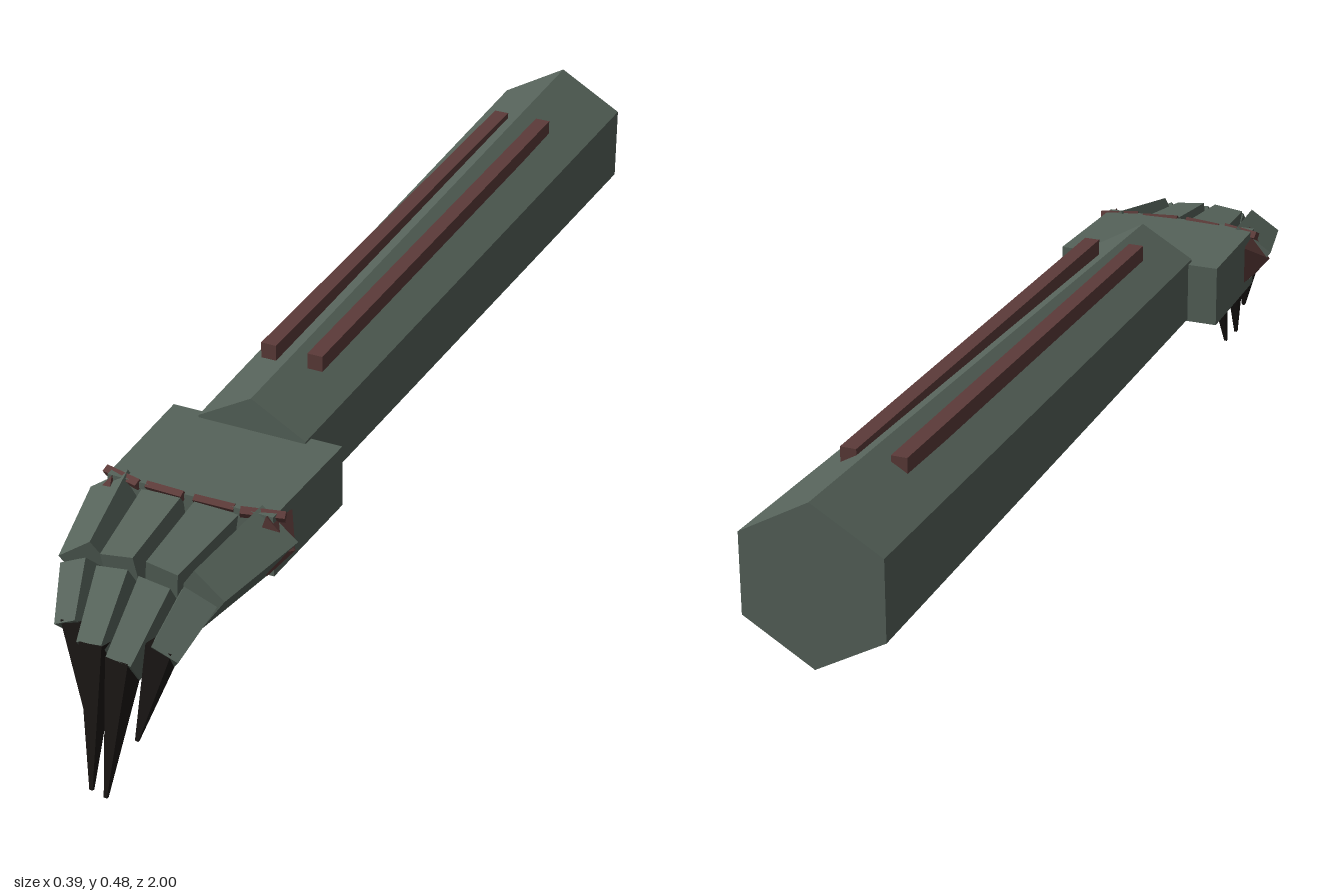
import * as THREE from 'three';

const armour = new THREE.MeshStandardMaterial({ color: 0x56635a, flatShading: true });
const trim = new THREE.MeshStandardMaterial({ color: 0x5c3b39, flatShading: true });
const talon = new THREE.MeshStandardMaterial({ color: 0x1a1614, flatShading: true });

function add(parent, name, geometry, material) {
  const mesh = new THREE.Mesh(geometry, material);
  mesh.name = name;
  parent.add(mesh);
  return mesh;
}

// Four-sided block running from a to b, with its own width and height at each end
function segment(parent, name, a, b, sizeA, sizeB, roll, material) {
  const from = new THREE.Vector3(...a), to = new THREE.Vector3(...b);
  const geo = new THREE.BoxGeometry(1, 1, from.distanceTo(to));
  const p = geo.attributes.position;
  for (let i = 0; i < p.count; i++) {
    const [w, h] = p.getZ(i) < 0 ? sizeA : sizeB;
    p.setXY(i, p.getX(i) * w, p.getY(i) * h);
  }
  geo.rotateZ(roll);
  geo.computeVertexNormals();
  const mesh = add(parent, name, geo, material);
  mesh.up.set(0, 1, 0.6).normalize();
  mesh.position.copy(from).add(to).multiplyScalar(0.5);
  mesh.lookAt(to);
  return mesh;
}

// Two phalanges and a claw through four joints
function finger(name, joints, sizes, roll) {
  const group = new THREE.Group();
  group.name = name;
  const [knuckle, middle, end, tip] = joints;
  segment(group, 'proximalPhalanx', knuckle, middle, sizes[0], sizes[1], roll, armour);
  segment(group, 'distalPhalanx', middle, end, sizes[2], sizes[3], roll, armour);
  const base = end.map((v, i) => v + (i === 1 ? 0.02 : i === 2 ? -0.012 : 0));
  segment(group, 'claw', base, tip, sizes[4], [0.006, 0.006], roll * 0.5, talon);
  return group;
}

export function createModel() {
  const model = new THREE.Group();
  model.name = 'clawedArm';

  // Hexagonal forearm, ridge upward, wider at the rear
  const arm = new THREE.CylinderGeometry(0.119, 0.145, 1.43, 6);
  arm.rotateX(Math.PI / 2);
  arm.computeBoundingBox();
  if (arm.boundingBox.max.x > arm.boundingBox.max.y + 0.005) arm.rotateZ(Math.PI / 6);
  add(model, 'forearm', arm, armour).position.set(0, 0.336, -0.285);

  // Twin rails along the top of the forearm
  for (const s of [1, -1]) {
    add(model, 'rail', new THREE.BoxGeometry(0.029, 0.03, 1.05), trim)
      .position.set(s * 0.045, 0.455, -0.25);
  }

  // Palm block
  segment(model, 'palm', [0, 0.332, 0.41], [0, 0.333, 0.655], [0.325, 0.118], [0.31, 0.116], 0, armour);

  for (const s of [1, -1]) {
    const side = s > 0 ? 'left' : 'right';
    const drop = s > 0 ? 0 : 0.015; // the right fingers curl a little less

    // Outer finger, rolled outward
    model.add(finger(side + 'OuterFinger', [
      [s * 0.132, 0.33, 0.63], [s * 0.096, 0.308, 0.81],
      [s * 0.076, 0.245 + drop * 0.4, 0.895], [s * 0.045, 0.095 + drop, 0.935],
    ], [[0.085, 0.105], [0.07, 0.105], [0.062, 0.095], [0.05, 0.07], [0.046, 0.062]], -s * 0.5));

    // Inner finger
    model.add(finger(side + 'InnerFinger', [
      [s * 0.046, 0.332, 0.63], [s * 0.035, 0.31, 0.82],
      [s * 0.024, 0.232 + drop, 0.933], [s * 0.009, drop * 1.3, 0.982 + drop * 0.9],
    ], [[0.08, 0.108], [0.06, 0.11], [0.058, 0.1], [0.046, 0.065], [0.042, 0.062]], -s * 0.1));

    // Faceted outer knuckle guard
    const guard = new THREE.ConeGeometry(0.062, 0.045, 5);
    guard.rotateZ(-s * Math.PI / 2);
    const knuckle = add(model, side + 'KnuckleGuard', guard, trim);
    knuckle.position.set(s * 0.17, 0.334, 0.645);
    knuckle.rotation.y = -s * 0.2;

    // Thin knuckle strips across the finger roots
    segment(model, side + 'InnerKnuckleStrip', [s * 0.01, 0.388, 0.656], [s * 0.082, 0.385, 0.65],
      [0.012, 0.014], [0.012, 0.014], 0, trim);
    segment(model, side + 'OuterKnuckleStrip', [s * 0.095, 0.386, 0.655], [s * 0.168, 0.384, 0.635],
      [0.014, 0.014], [0.014, 0.014], 0, trim);
  }

  return model;
}
